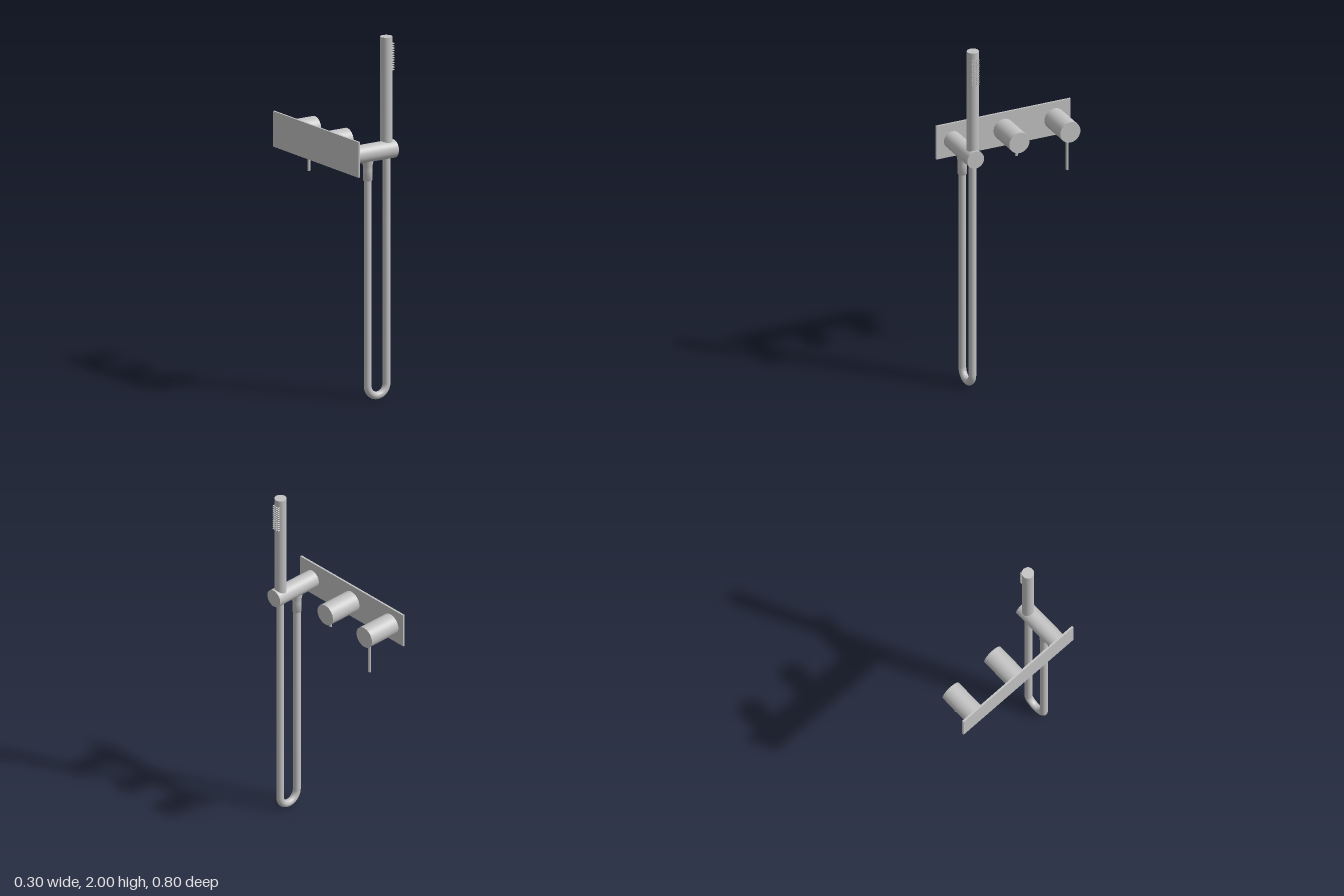
import * as THREE from 'three';

export function createModel() {
  const model = new THREE.Group();
  const metal = new THREE.MeshStandardMaterial({ color: 0xc2c2c2 });
  metal.name = 'brushedMetal';

  const add = (name, geometry, x, y, z, parent = model) => {
    const mesh = new THREE.Mesh(geometry, metal);
    mesh.name = name;
    mesh.position.set(x, y, z);
    parent.add(mesh);
    return mesh;
  };
  // Cylinder lying along x between two ends
  const barrel = (name, r, x0, x1, y, z, parent, sides = 40) =>
    add(name, new THREE.CylinderGeometry(r, r, x1 - x0, sides).rotateZ(-Math.PI / 2), (x0 + x1) / 2, y, z, parent);
  // Upright cylinder between two heights
  const rod = (name, r, y0, y1, x, z, sides = 32) =>
    add(name, new THREE.CylinderGeometry(r, r, y1 - y0, sides), x, (y0 + y1) / 2, z);

  const axisY = 1.374, wallX = -0.137, hoseZ = 0.303;
  const backX = -0.02, frontX = 0.103;

  // Wall plate
  add('wallPlate', new THREE.BoxGeometry(0.011, 0.197, 0.8), -0.1425, axisY, 0);

  // Control knobs with their lever pins
  barrel('temperatureKnob', 0.06, wallX, 0.058, axisY, -0.303);
  rod('temperatureLever', 0.008, 1.138, 1.33, 0.018, -0.303, 16);
  barrel('diverterKnob', 0.06, wallX, 0.058, axisY, 0);
  rod('diverterLever', 0.008, 1.284, 1.33, 0.018, 0, 16);

  // Handset holder and handset
  barrel('handsetHolder', 0.05, wallX, 0.148, axisY, 0.305);
  rod('handset', 0.033, axisY, 2, frontX, 0.3);

  // Spray nozzles on the handset
  const nozzles = new THREE.Group();
  nozzles.name = 'sprayNozzles';
  model.add(nozzles);
  for (let row = 0; row < 12; row++) {
    for (const dz of [-0.018, -0.007, 0.007, 0.018]) {
      barrel('nozzle', 0.0035, 0.125, 0.137 + 0.008 - Math.abs(dz) * 0.15, 1.814 + row * 0.0131, 0.3 + dz, nozzles, 8);
    }
  }

  // Flared hose outlet under the holder
  const profile = [[0, 0], [0.0245, 0], [0.0245, 0.06], [0.026, 0.08], [0.03, 0.1], [0.032, 0.125]]
    .map(([r, y]) => new THREE.Vector2(r, y));
  add('hoseOutlet', new THREE.LatheGeometry(profile, 32), backX, 1.222, hoseZ);

  // Hanging hose: two straight runs joined by a half circle
  const hoseR = 0.021, bend = (frontX - backX) / 2, bendY = bend + hoseR + 0.001;
  rod('hoseBackRun', hoseR, bendY, 1.23, backX, hoseZ);
  rod('hoseFrontRun', hoseR, bendY, 1.35, frontX, hoseZ);
  add('hoseBend', new THREE.TorusGeometry(bend, hoseR, 24, 32, Math.PI).rotateZ(Math.PI),
    (backX + frontX) / 2, bendY, hoseZ);

  return model;
}
